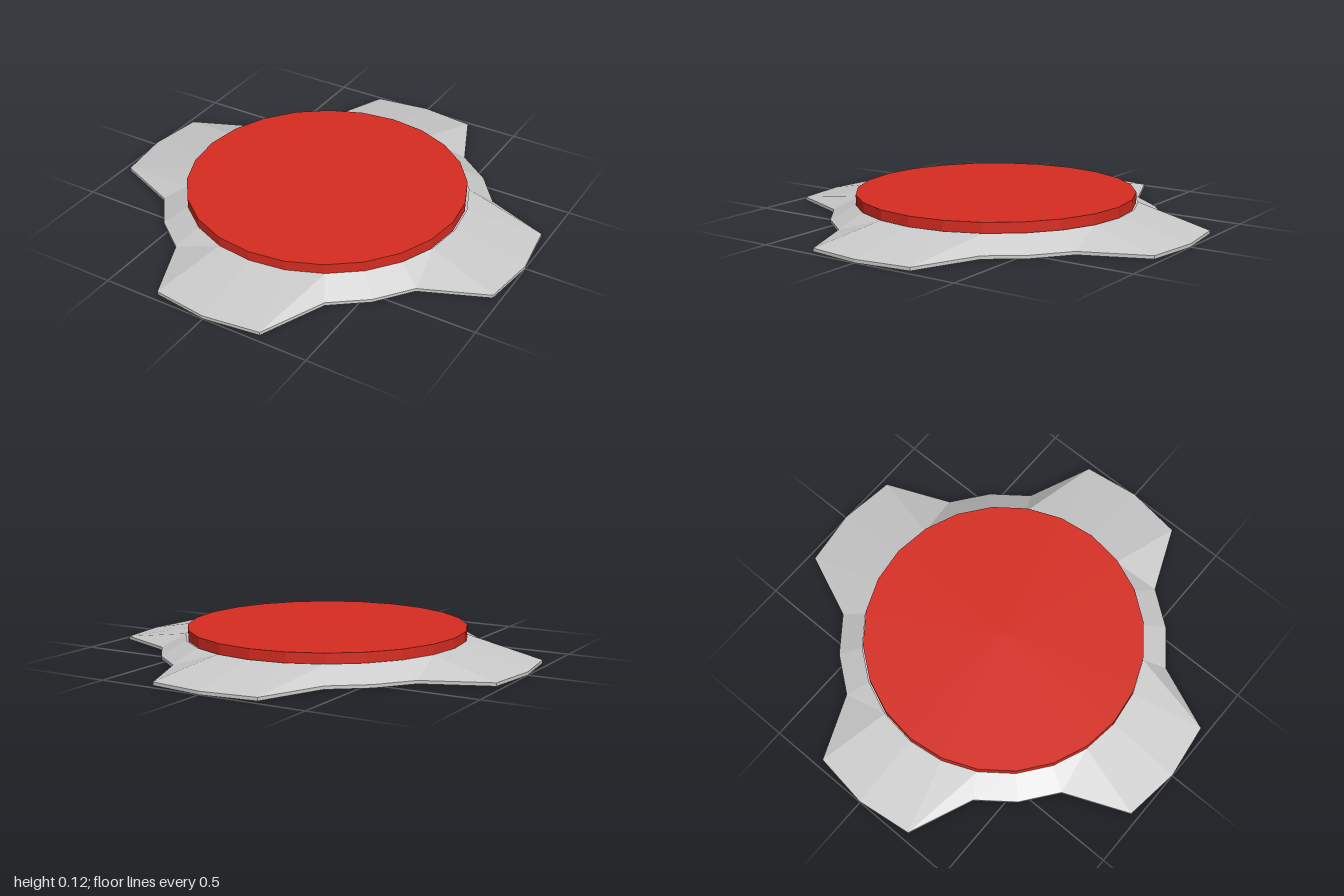
import * as THREE from 'three';

const SIDES = 24;

// One ring of 24 points; radiusAt gives the radius for each point index.
function ring(radiusAt, y) {
  return Array.from({ length: SIDES }, (_, i) => {
    const a = (i / SIDES) * Math.PI * 2;
    const r = radiusAt(i);
    return [Math.sin(a) * r, y, Math.cos(a) * r];
  });
}

// Four broad lobes on the axes, with shallow notches on the diagonals.
function lobeRadius(i) {
  const step = i % 6;
  return step <= 1 || step === 5 ? 1 : 0.77;
}

// Loft the rings from bottom to top, closing the underside.
function loft(rings) {
  const pos = [];
  const tri = (a, b, c) => pos.push(...a, ...b, ...c);
  for (let k = 0; k < rings.length - 1; k++) {
    const lo = rings[k], hi = rings[k + 1];
    for (let i = 0; i < SIDES; i++) {
      const j = (i + 1) % SIDES;
      tri(lo[i], lo[j], hi[j]);
      tri(lo[i], hi[j], hi[i]);
    }
  }
  for (let i = 0; i < SIDES; i++) {
    tri([0, 0, 0], rings[0][(i + 1) % SIDES], rings[0][i]);
  }
  const geo = new THREE.BufferGeometry();
  geo.setAttribute('position', new THREE.Float32BufferAttribute(pos, 3));
  geo.computeVertexNormals();
  return geo;
}

export function createModel() {
  const model = new THREE.Group();
  model.name = 'lobedButton';

  // Sloping four-lobed base with a thin vertical rim
  const base = new THREE.Mesh(
    loft([ring(lobeRadius, 0), ring(lobeRadius, 0.015), ring(() => 0.655, 0.08)]),
    new THREE.MeshStandardMaterial({ color: 0xcccccc, flatShading: true, side: THREE.DoubleSide })
  );
  base.name = 'lobedBase';
  model.add(base);

  // Red disc resting in the opening of the base
  const disc = new THREE.Mesh(
    new THREE.CylinderGeometry(0.65, 0.65, 0.05, SIDES),
    new THREE.MeshStandardMaterial({ color: 0xd82c20, flatShading: true })
  );
  disc.name = 'redDisc';
  disc.position.set(-0.002, 0.1, 0.005);
  model.add(disc);

  return model;
}
